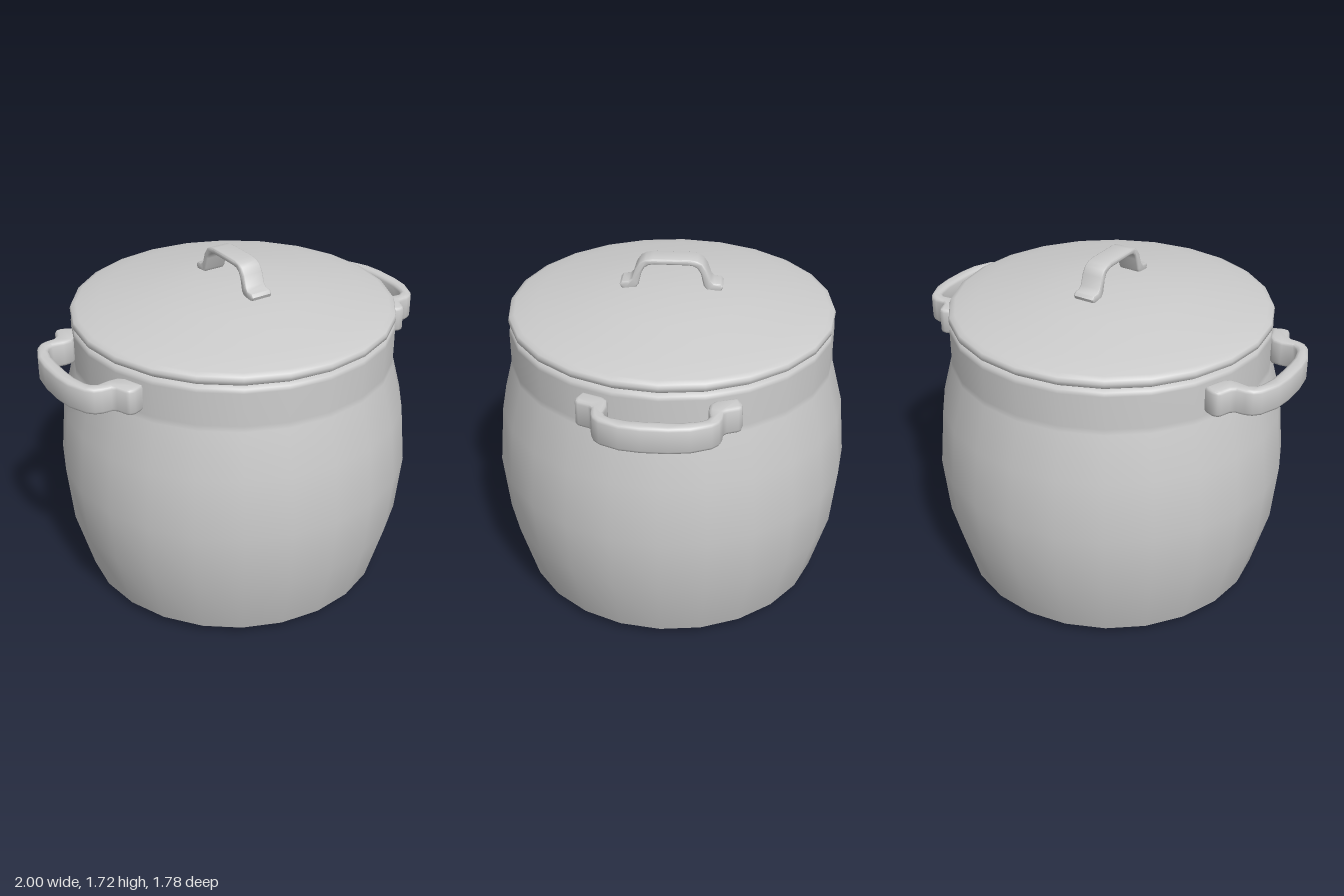
import * as THREE from 'three';
import { toCreasedNormals } from 'three/addons/utils/BufferGeometryUtils.js';

const material = new THREE.MeshStandardMaterial({ color: 0xcccccc });
const SEGMENTS = 24;

function addMesh(parent, name, geometry) {
  const mesh = new THREE.Mesh(geometry, material);
  mesh.name = name;
  parent.add(mesh);
  return mesh;
}

// Surface of revolution from [radius, height] pairs
function turned(profile) {
  return new THREE.LatheGeometry(profile.map(([r, y]) => new THREE.Vector2(r, y)), SEGMENTS);
}

// Symmetric bow handle: half outlines run from the foot to the middle, as [along, out]
function bowHandle(outer, inner, width, bevel) {
  const mirror = (pts) => pts.map(([s, r]) => [-s, r]);
  const outline = [
    ...outer, ...mirror(outer).reverse(),
    ...mirror(inner), ...[...inner].reverse(),
  ].map(([s, r]) => new THREE.Vector2(s, r));
  const geometry = new THREE.ExtrudeGeometry(new THREE.Shape(outline), {
    depth: width - 2 * bevel, bevelEnabled: true, bevelThickness: bevel,
    bevelSize: bevel, bevelOffset: -bevel, bevelSegments: 2,
  });
  geometry.translate(0, 0, bevel - width / 2);
  return toCreasedNormals(geometry, 0.85);
}

export function createModel() {
  const pot = new THREE.Group();
  pot.name = 'cookingPot';

  // Bellied body with a straight neck
  addMesh(pot, 'body', turned([
    [0, 0], [0.66, 0], [0.71, 0.003], [0.745, 0.018], [0.775, 0.045],
    [0.862, 0.36], [0.89, 0.66], [0.862, 0.96], [0.802, 1.19],
    [0.8, 1.22], [0.8, 1.385], [0.796, 1.405], [0.78, 1.417], [0.74, 1.417],
  ]));

  // Shallow domed lid with a rounded rim
  addMesh(pot, 'lid', turned([
    [0, 1.415], [0.74, 1.415], [0.785, 1.42], [0.799, 1.43], [0.801, 1.448],
    [0.795, 1.464], [0.77, 1.474], [0.66, 1.502], [0.4, 1.549], [0.19, 1.574], [0, 1.576],
  ]));

  // Strap handle on the lid, running front to back
  const lidHandle = bowHandle(
    [[0.243, 1.568], [0.25, 1.585], [0.238, 1.6], [0.206, 1.603], [0.19, 1.617],
      [0.172, 1.67], [0.15, 1.702], [0.125, 1.715], [0.09, 1.721]],
    [[0.22, 1.562], [0.175, 1.566], [0.157, 1.59], [0.143, 1.65],
      [0.128, 1.676], [0.108, 1.689], [0.08, 1.693]],
    0.112, 0.008);
  lidHandle.rotateY(Math.PI / 2);
  addMesh(pot, 'lidHandle', lidHandle);

  // Two side handles, bowed outward in plan
  const sideHandle = bowHandle(
    [[0.345, 0.71], [0.358, 0.73], [0.371, 0.765], [0.368, 0.79], [0.355, 0.802], [0.305, 0.822],
      [0.29, 0.84], [0.287, 0.885], [0.275, 0.918], [0.245, 0.948], [0.155, 0.987], [0.06, 1]],
    [[0.25, 0.745], [0.225, 0.775], [0.222, 0.82], [0.23, 0.875],
      [0.215, 0.9], [0.19, 0.915], [0.12, 0.932], [0.05, 0.936]],
    0.132, 0.016);
  sideHandle.applyMatrix4(new THREE.Matrix4().makeBasis(
    new THREE.Vector3(0, 0, 1), new THREE.Vector3(1, 0, 0), new THREE.Vector3(0, 1, 0)));
  for (const [name, turn] of [['leftHandle', 0], ['rightHandle', Math.PI]]) {
    const handle = addMesh(pot, name, sideHandle);
    handle.position.y = 1.305;
    handle.rotation.y = turn;
  }

  return pot;
}
